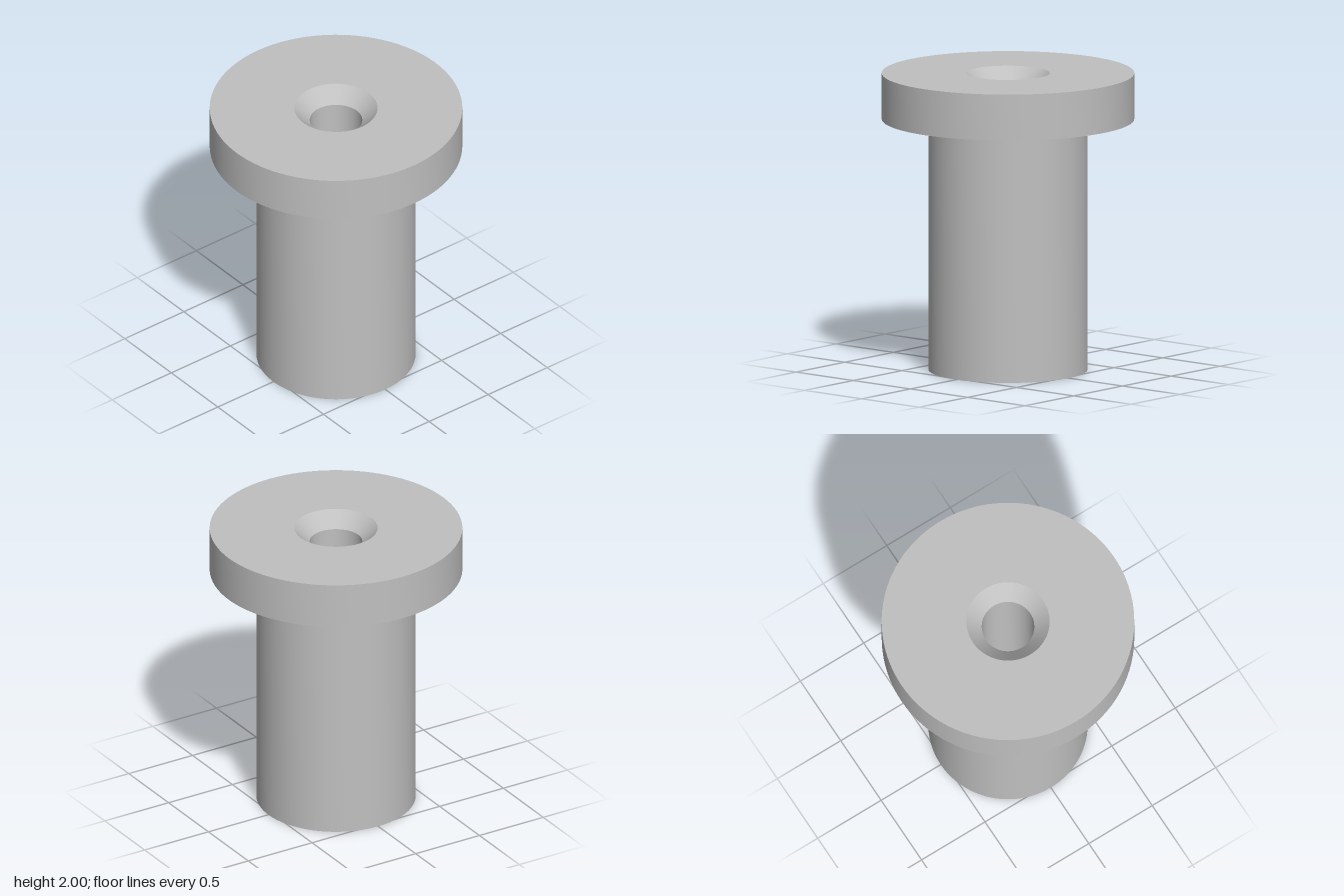
import * as THREE from 'three';
import { toCreasedNormals } from 'three/addons/utils/BufferGeometryUtils.js';

const SEGMENTS = 96;
const SHANK_R = 0.53, HEAD_R = 0.84, BORE_R = 0.175, SINK_R = 0.277;
const HEAD_Y = 1.69, TOP_Y = 2, SINK_Y = 1.9;

export function createModel() {
  const model = new THREE.Group();
  model.name = 'flangedBushing';

  const steel = new THREE.MeshStandardMaterial({ color: 0xc0c0c0 });
  steel.name = 'grey steel';

  // Revolve a [radius, height] profile, keeping its corners sharp
  const turned = (name, profile) => {
    const points = profile.map(([r, y]) => new THREE.Vector2(r, y));
    const geometry = toCreasedNormals(new THREE.LatheGeometry(points, SEGMENTS), 0.5);
    const mesh = new THREE.Mesh(geometry, steel);
    mesh.name = name;
    model.add(mesh);
  };

  // Bottom ring and outer wall of the shank
  turned('shank', [[BORE_R, 0], [SHANK_R, 0], [SHANK_R, HEAD_Y]]);

  // Underside, rim and top of the wide flange
  turned('flange', [[SHANK_R, HEAD_Y], [HEAD_R, HEAD_Y], [HEAD_R, TOP_Y], [SINK_R, TOP_Y]]);

  // Conical countersink leading into the through hole
  turned('countersink', [[SINK_R, TOP_Y], [BORE_R, SINK_Y]]);
  turned('bore', [[BORE_R, SINK_Y], [BORE_R, 0]]);

  return model;
}
